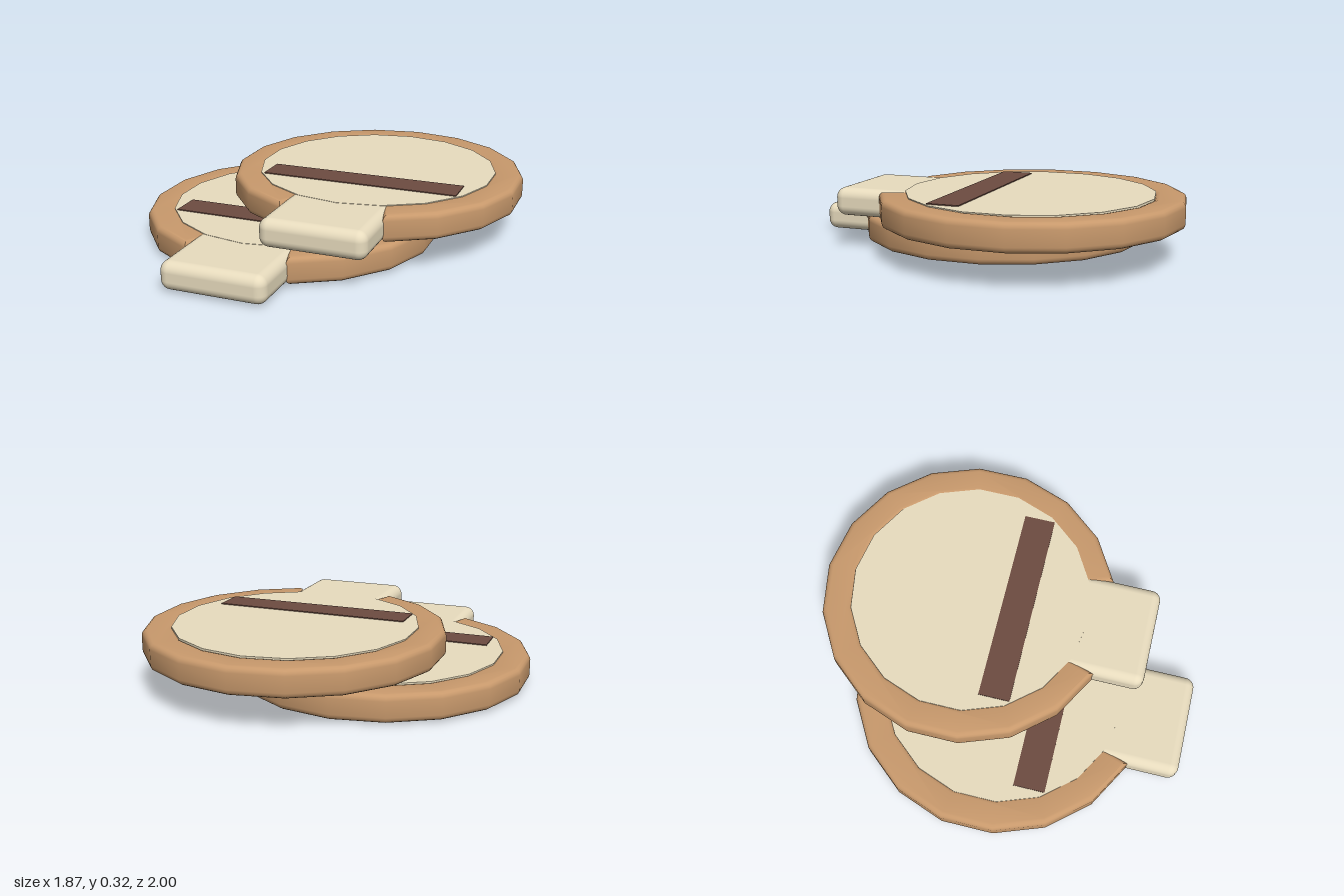
import * as THREE from 'three';
import { toCreasedNormals } from 'three/addons/utils/BufferGeometryUtils.js';
import { RoundedBoxGeometry } from 'three/addons/geometries/RoundedBoxGeometry.js';

const SIDES = 18;
const tan = new THREE.MeshStandardMaterial({ color: 0xc8996c });
const cream = new THREE.MeshStandardMaterial({ color: 0xe8dcbe });
const brown = new THREE.MeshStandardMaterial({ color: 0x6d4c41 });

function add(parent, name, geometry, material, x = 0, y = 0, z = 0) {
  const mesh = new THREE.Mesh(geometry, material);
  mesh.name = name;
  mesh.position.set(x, y, z);
  parent.add(mesh);
}

// Open 18-sided ring with rounded edges; the gap faces +z, where the handle sits
function rimGeometry(outer, inner, height, bevel) {
  const points = [];
  const corner = (r, i) => {
    const a = (i / SIDES) * Math.PI * 2;
    points.push(new THREE.Vector2(r * Math.sin(a), r * Math.cos(a)));
  };
  for (let i = 1; i < SIDES; i++) corner(outer, i);
  for (let i = SIDES - 1; i > 0; i--) corner(inner, i);
  const geometry = new THREE.ExtrudeGeometry(new THREE.Shape(points), {
    depth: height - 2 * bevel,
    bevelThickness: bevel, bevelSize: bevel, bevelOffset: -bevel, bevelSegments: 4,
  });
  geometry.translate(0, 0, bevel - height / 2);
  geometry.rotateX(Math.PI / 2);
  return toCreasedNormals(geometry, 0.7);
}

function createPaddle(name, x, y, z) {
  const paddle = new THREE.Group();
  paddle.name = name;
  paddle.position.set(x, y, z);
  add(paddle, 'rim', rimGeometry(0.76, 0.6, 0.138, 0.03), tan);
  add(paddle, 'face', new THREE.CylinderGeometry(0.62, 0.62, 0.146, SIDES), cream, 0, 0, 0.01);
  add(paddle, 'handle', new RoundedBoxGeometry(0.53, 0.143, 0.52, 5, 0.05), cream, 0, 0, 0.71);
  // The stripe shows on both faces
  add(paddle, 'stripe', new THREE.BoxGeometry(1.02, 0.156, 0.16), brown, 0, 0, 0.26);
  return paddle;
}

export function createModel() {
  const model = new THREE.Group();
  model.name = 'paddlePair';
  model.add(createPaddle('lowerPaddle', -0.185, 0.078, 0.03));
  model.add(createPaddle('upperPaddle', 0.185, 0.239, -0.24));
  return model;
}
